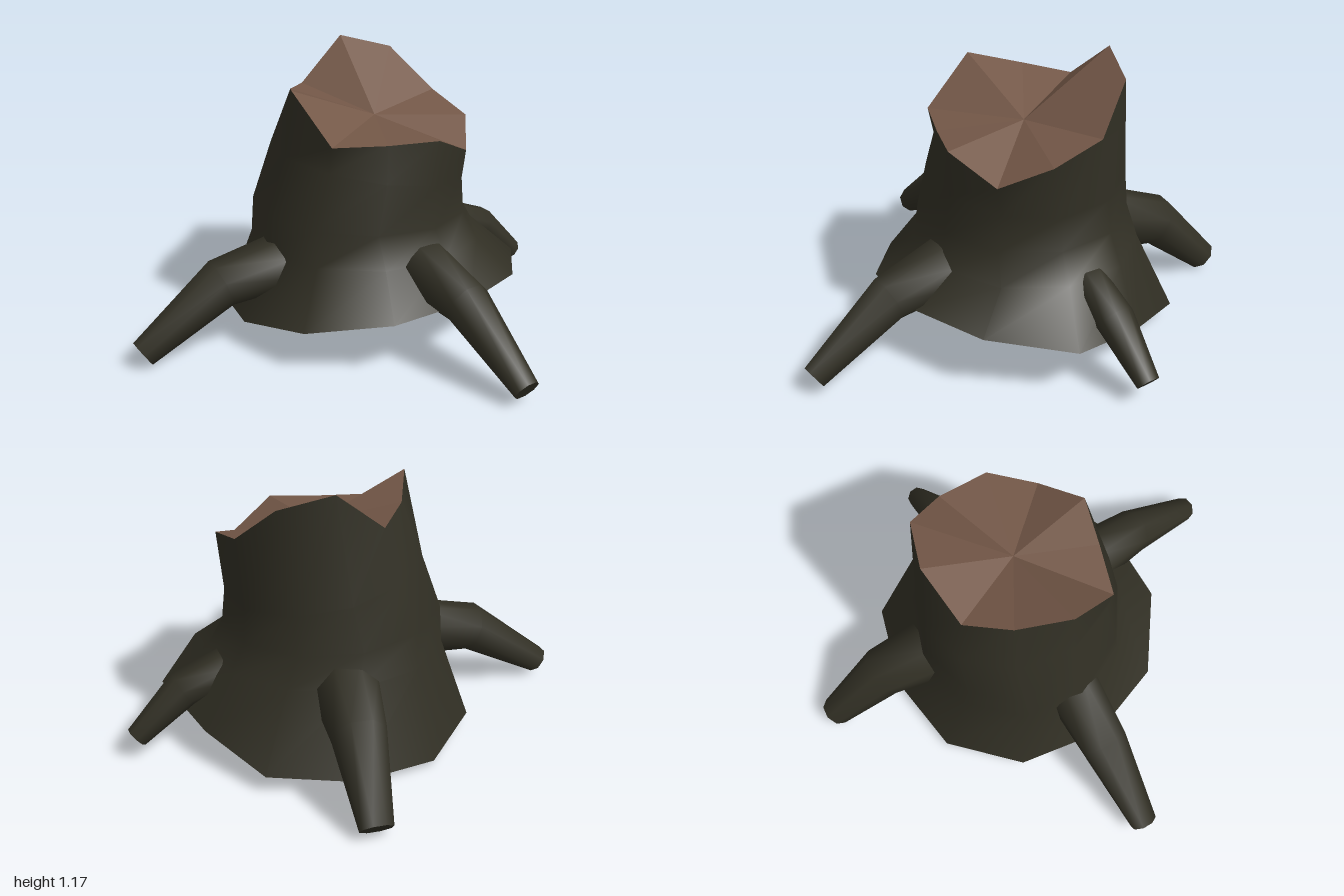
import * as THREE from 'three';

const V = (x, y, z) => new THREE.Vector3(x, y, z);

// Skin over a stack of closed rings (arrays of points), smooth shaded, open ends
function loft(rings) {
  const n = rings[0].length;
  const geo = new THREE.BufferGeometry().setFromPoints(rings.flat());
  const index = [];
  for (let j = 0; j < rings.length - 1; j++) {
    for (let i = 0; i < n; i++) {
      const a = j * n + i, b = j * n + (i + 1) % n;
      index.push(a, a + n, b, b, a + n, b + n);
    }
  }
  geo.setIndex(index);
  geo.computeVertexNormals();
  return geo;
}

// Flat facets from a ring to a centre point
function fan(ring, centre) {
  const pts = [];
  ring.forEach((p, i) => pts.push(centre, ring[(i + 1) % ring.length], p));
  const geo = new THREE.BufferGeometry().setFromPoints(pts);
  geo.computeVertexNormals();
  return geo;
}

export function createModel() {
  const bark = new THREE.MeshStandardMaterial({ color: 0x312f24, side: THREE.DoubleSide });
  bark.name = 'bark';
  const wood = new THREE.MeshStandardMaterial({ color: 0x735747, side: THREE.DoubleSide });
  wood.name = 'cutWood';

  const group = new THREE.Group();
  group.name = 'treeStump';
  const add = (name, geo, mat, parent = group) => {
    const mesh = new THREE.Mesh(geo, mat);
    mesh.name = name;
    parent.add(mesh);
  };

  // Trunk: flared, tilted open foot, three waist rings, jagged rim
  const foot = [
    [0.80, 0.05], [0.61, 0.37], [0.30, 0.54], [-0.05, 0.57], [-0.36, 0.39], [-0.50, 0.07],
    [-0.46, -0.29], [-0.22, -0.56], [0.13, -0.64], [0.48, -0.57], [0.67, -0.28],
  ].map(([x, z]) => V(x, 0.15 + 0.077 * x + 0.17 * z, z));
  const rim = [
    [0.54, 0.89, 0.04], [0.44, 0.80, 0.23], [0.25, 0.90, 0.35], [0.04, 0.895, 0.31],
    [-0.18, 0.90, 0.26], [-0.26, 1.085, 0.04], [-0.18, 1.03, -0.18], [-0.06, 1.0, -0.35],
    [0.15, 1.18, -0.41], [0.37, 1.12, -0.36], [0.50, 0.95, -0.19],
  ].map((p) => V(...p));
  const waist = (cx, cz, rx, rz, y, tilt) => rim.map((_, i) => {
    const a = 0.1 + (i / rim.length) * Math.PI * 2;
    const x = cx + rx * Math.cos(a);
    return V(x, y + tilt * (x - cx), cz + rz * Math.sin(a));
  });
  add('trunk', loft([
    foot,
    waist(0.11, -0.05, 0.50, 0.47, 0.40, -0.01),
    waist(0.08, -0.05, 0.46, 0.44, 0.54, -0.05),
    waist(0.115, -0.05, 0.41, 0.415, 0.73, -0.18),
    rim,
  ]), bark);

  // Splintered cut surface
  add('cutTop', fan(rim, V(0.14, 0.92, -0.03)), wood);

  // Bent roots: each node is x, y, z, radius from the trunk outwards
  const roots = {
    rightRoot: [[-0.28, 0.355, 0.02, 0.125], [-0.585, 0.305, 0.04, 0.105], [-0.935, 0.068, 0.07, 0.06]],
    leftRoot: [[0.55, 0.35, -0.12, 0.085], [0.735, 0.285, -0.14, 0.08], [0.94, 0.105, -0.175, 0.048]],
    backRoot: [[0.12, 0.365, -0.43, 0.14], [0.135, 0.305, -0.69, 0.112], [0.14, 0.058, -0.955, 0.068]],
    frontRoot: [[0.19, 0.36, 0.36, 0.125], [0.245, 0.305, 0.62, 0.1], [0.318, 0.078, 0.965, 0.055]],
  };
  const sides = 8;
  for (const [name, nodes] of Object.entries(roots)) {
    const pts = nodes.map((n) => V(n[0], n[1], n[2]));
    const rings = pts.map((p, j) => {
      const dir = V(0, 0, 0);
      if (j > 0) dir.add(p.clone().sub(pts[j - 1]).normalize());
      if (j < pts.length - 1) dir.add(pts[j + 1].clone().sub(p).normalize());
      dir.normalize();
      const u = dir.clone().cross(V(0, 1, 0)).normalize();
      const v = u.clone().cross(dir);
      return Array.from({ length: sides }, (_, i) => {
        const a = ((i + 0.5) / sides) * Math.PI * 2;
        return p.clone()
          .addScaledVector(u, nodes[j][3] * Math.cos(a))
          .addScaledVector(v, nodes[j][3] * Math.sin(a));
      });
    });
    const root = new THREE.Group();
    root.name = name;
    add('rootSkin', loft(rings), bark, root);
    add('rootTip', fan(rings[2], pts[2]), bark, root);
    group.add(root);
  }
  return group;
}
